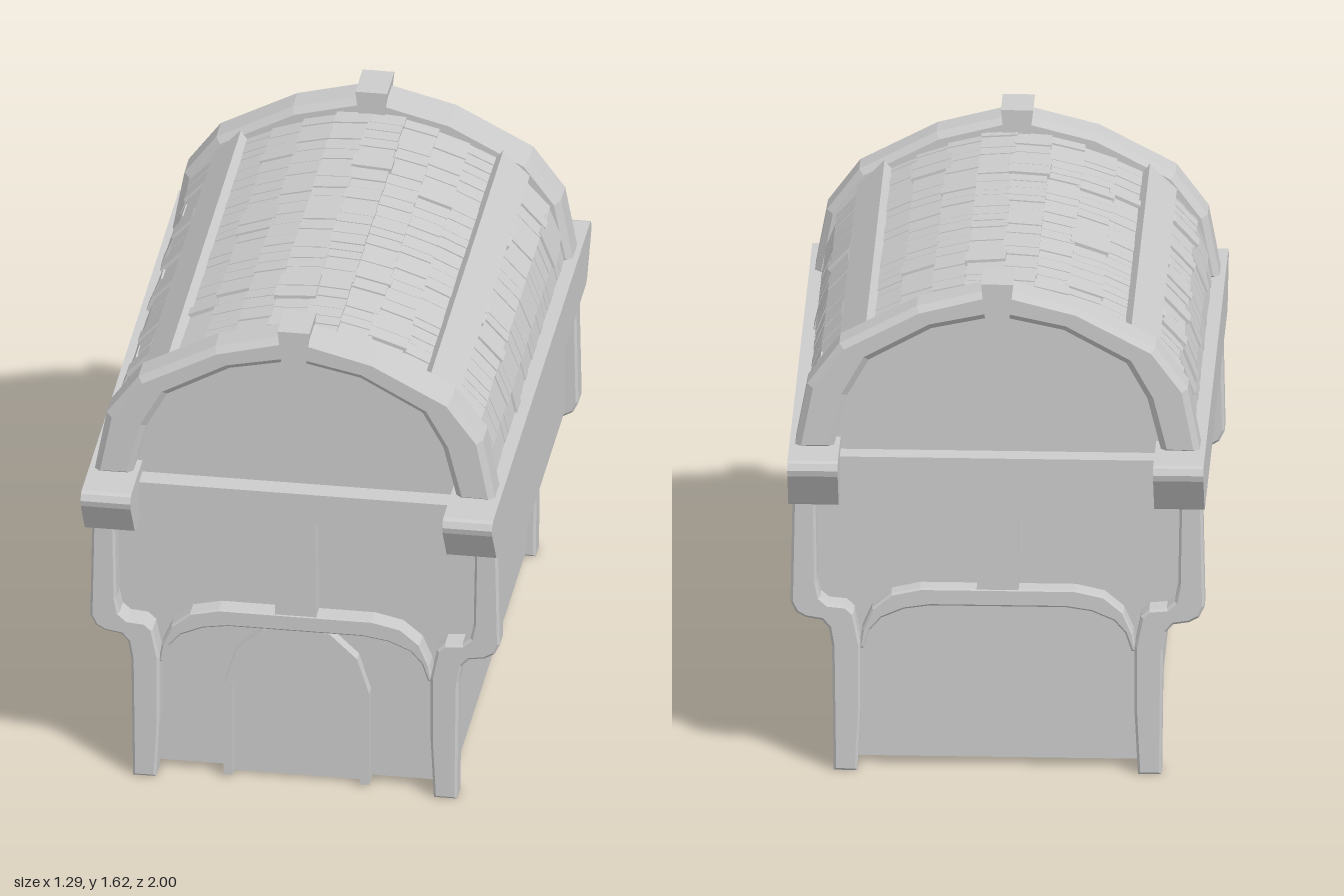
import * as THREE from 'three';
import { mergeGeometries } from 'three/addons/utils/BufferGeometryUtils.js';

const grey = new THREE.MeshStandardMaterial({ color: 0xcccccc, flatShading: true, side: THREE.DoubleSide });

function add(parent, name, geometry) {
  const mesh = new THREE.Mesh(geometry, grey);
  mesh.name = name;
  parent.add(mesh);
  return mesh;
}

function box(parent, name, x0, x1, y0, y1, z0, z1) {
  const mesh = add(parent, name, new THREE.BoxGeometry(x1 - x0, y1 - y0, z1 - z0));
  mesh.position.set((x0 + x1) / 2, (y0 + y1) / 2, (z0 + z1) / 2);
  return mesh;
}

const toShape = (pts) => new THREE.Shape(pts.map(([x, y]) => new THREE.Vector2(x, y)));
const mirror = (pts) => pts.map(([x, y]) => [-x, y]);
// Right-hand half outline, from the outside to the centre line, completed on the other side
const bothSides = (half) => [...half, ...mirror(half).reverse().filter(([x]) => x !== 0)];

// Extrudes an outline from z0 to z1; the bevel stays inside the outline
function slab(parent, name, pts, z0, z1, bevel = 0) {
  const g = new THREE.ExtrudeGeometry(toShape(pts), {
    depth: z1 - z0 - 2 * bevel, bevelEnabled: bevel > 0, bevelThickness: bevel,
    bevelSize: bevel, bevelOffset: -bevel, bevelSegments: 1,
  });
  g.translate(0, 0, z0 + bevel);
  return add(parent, name, g);
}

function seeded(seed) {
  return () => (seed = (seed * 16807) % 2147483647) / 2147483647;
}

// Half profiles
const archOuter = [[0.63, 1.06], [0.59, 1.275], [0.49, 1.41], [0.25, 1.536], [0, 1.6]];
const archInner = [[0.51, 1.06], [0.465, 1.24], [0.4, 1.356], [0.205, 1.463], [0, 1.506]];
const roofLine = [[0.595, 1.05], [0.55, 1.24], [0.43, 1.375], [0.22, 1.485], [0, 1.535]];
const roofInner = [[0.57, 1.05], [0.53, 1.23], [0.415, 1.355], [0.215, 1.462], [0, 1.51]];
const wallHalf = [[0.48, 0.025], [0.48, 0.525], [0.6, 0.525], [0.6, 1.05], [0.54, 1.24], [0.42, 1.37], [0.215, 1.475], [0, 1.52]];
const postOutline = [
  [0.565, 0.92], [0.56, 0.62], [0.55, 0.57], [0.525, 0.548], [0.47, 0.543], [0.445, 0.52], [0.425, 0.42], [0.405, 0.2],
  [0.435, 0], [0.508, 0], [0.513, 0.41], [0.523, 0.47], [0.545, 0.495], [0.595, 0.503],
  [0.625, 0.52], [0.642, 0.555], [0.635, 0.92],
];
postOutline[7][0] = 0.425;
const braceHalf = [[0.43, 0.4], [0.42, 0.46], [0.39, 0.53], [0.33, 0.58], [0.24, 0.6], [0, 0.6]];
const braceInner = [[0.415, 0.4], [0.395, 0.46], [0.36, 0.5], [0.29, 0.53], [0.21, 0.542], [0, 0.542]];

// Band between an outer and an inner half profile, spanning both sides
const band = (outer, inner) => [...bothSides(outer), ...bothSides(inner).reverse()];

// Timber framing of one gable end, built facing +z
function gableFrame() {
  const g = new THREE.Group();
  slab(g, 'gableWall', bothSides(wallHalf), 0.735, 0.755);
  slab(g, 'roofArch', band(archOuter, archInner), 0.718, 0.845, 0.02);
  slab(g, 'keystone', [[-0.037, 1.5], [0.037, 1.5], [0.05, 1.62], [-0.05, 1.62]], 0.71, 0.855);
  for (const pts of [postOutline, mirror(postOutline)]) slab(g, 'cornerPost', pts, 0.75, 0.83, 0.008);
  slab(g, 'archedBrace', band(braceHalf, braceInner), 0.75, 0.815, 0.006);
  slab(g, 'centrePost', [[-0.065, 0.59], [0.065, 0.59], [0.062, 0.94], [-0.062, 0.94]], 0.75, 0.812);
  box(g, 'tieBeam', -0.52, 0.52, 0.93, 1.035, 0.74, 0.825);
  return g;
}

// Arched doorway on the front
function doorway() {
  const g = new THREE.Group();
  g.name = 'doorway';
  const outer = [[0.228, 0.01], [0.228, 0.33], [0.19, 0.45], [0.105, 0.53], [0, 0.552]];
  const inner = [[0.2, 0.01], [0.2, 0.33], [0.16, 0.43], [0.085, 0.505], [0, 0.528]];
  slab(g, 'doorFrame', band(outer, inner), 0.74, 0.795);
  slab(g, 'door', bothSides(inner), 0.735, 0.762);
  return g;
}

// Rows of uneven shingles laid across the vault
function shingles() {
  const rand = seeded(77);
  const curve = new THREE.SplineCurve(bothSides(roofLine).map(([x, y]) => new THREE.Vector2(x, y)));
  const rows = 16, zEnd = 0.73, rowLength = curve.getLength() / rows;
  const parts = [];
  for (let r = 0; r < rows; r++) {
    const u = (r + 0.5) / rows;
    const p = curve.getPointAt(u), t = curve.getTangentAt(u);
    const slope = Math.atan2(t.y, t.x);
    const tilt = r < rows / 2 ? 0.07 : -0.07;
    let z = -zEnd;
    while (z < zEnd - 0.01) {
      const w = Math.min(0.045 + rand() * 0.035, zEnd - z);
      const odd = rand() < 0.08 ? 0.014 : 0;
      const thick = 0.026 + rand() * 0.008 + odd;
      const b = new THREE.BoxGeometry(rowLength * (1.03 + rand() * 0.08) + odd, thick, w - 0.004);
      b.rotateZ(slope + tilt);
      // Outward normal of the vault
      b.translate(p.x - t.y * 0.004, p.y + t.x * 0.004, z + w / 2);
      parts.push(b);
      z += w;
    }
  }
  return mergeGeometries(parts);
}

export function createModel() {
  const model = new THREE.Group();
  model.name = 'house';

  const front = gableFrame();
  front.name = 'frontFrame';
  const back = gableFrame();
  back.name = 'backFrame';
  back.rotation.y = Math.PI;
  model.add(front, back, doorway());

  // Long sides: lower wall, jettied upper wall and eaves beam
  const eaves = [[-0.89, 0.9], [0.89, 0.9], [0.912, 0.91], [0.995, 1.03], [1, 1.05], [0.99, 1.07], [0.975, 1.075],
    [-0.975, 1.075], [-0.99, 1.07], [-1, 1.05], [-0.995, 1.03], [-0.912, 0.91]];
  for (const s of [-1, 1]) {
    const side = new THREE.Group();
    side.name = s > 0 ? 'leftSide' : 'rightSide';
    const span = (a, b) => [Math.min(s * a, s * b), Math.max(s * a, s * b)];
    box(side, 'lowerWall', ...span(0.46, 0.48), 0.025, 0.53, -0.755, 0.755);
    box(side, 'jettyFloor', ...span(0.46, 0.6), 0.525, 0.545, -0.755, 0.755);
    box(side, 'upperWall', ...span(0.58, 0.6), 0.525, 1.05, -0.755, 0.755);
    const beam = slab(side, 'eavesBeam', eaves, -0.078, 0.078);
    beam.rotation.y = Math.PI / 2;
    beam.position.x = s * 0.567;
    const purlin = add(side, 'purlin', new THREE.BoxGeometry(0.115, 0.06, 1.46));
    purlin.position.set(s * 0.433, 1.382, 0);
    purlin.rotation.z = -s * 0.75;
    model.add(side);
  }

  // Vaulted roof
  slab(model, 'roofVault', band(roofLine, roofInner), -0.74, 0.74);
  add(model, 'roofShingles', shingles());
  return model;
}
